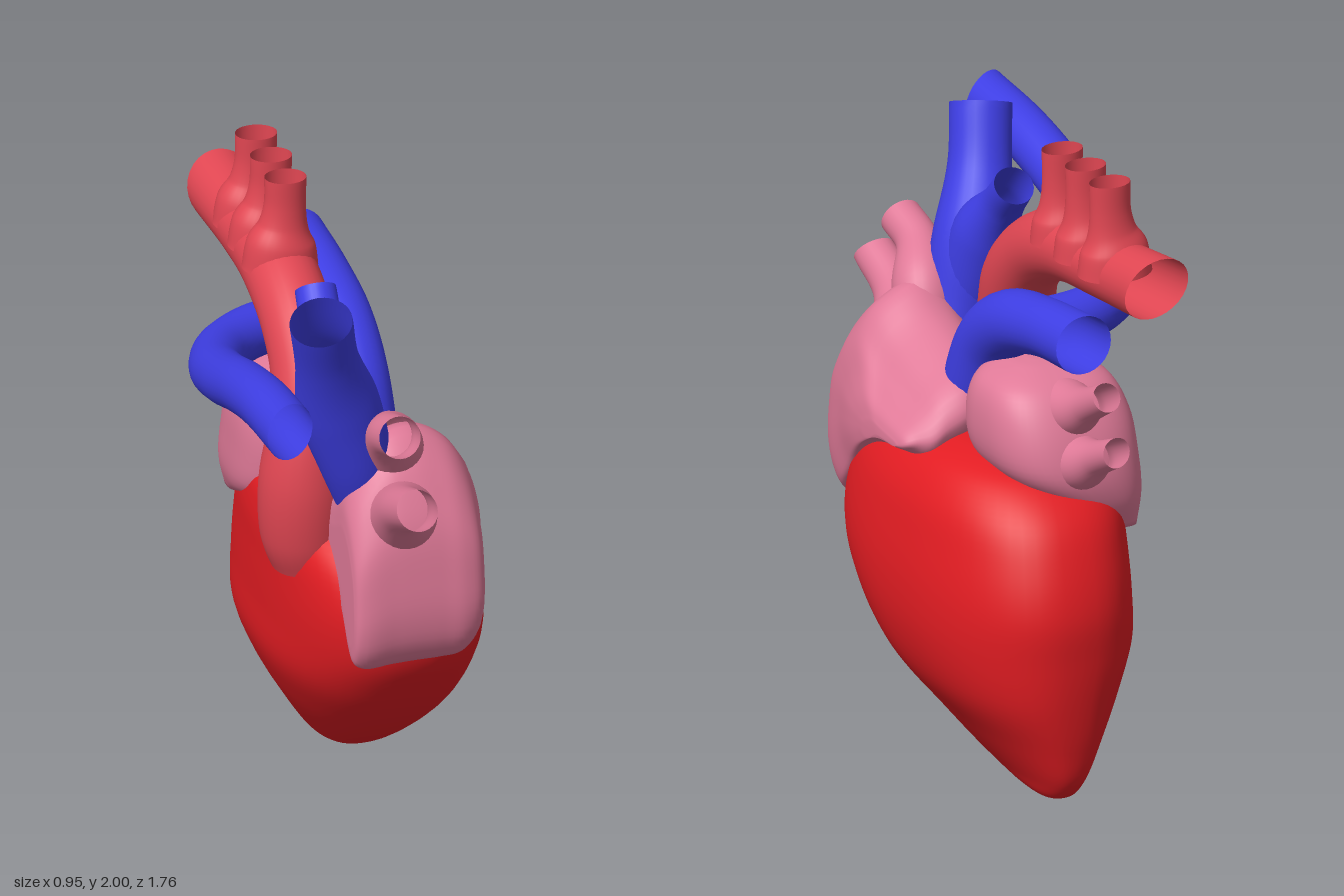
import * as THREE from 'three';

const V = (x, y, z) => new THREE.Vector3(x, y, z);
const RED = 0xe21c22, AORTA = 0xe04652, BLUE = 0x3e3ee4, PINK = 0xe07a98;

// Skin through closed rings of equal point count, optionally capped at both ends
function skin(rings, capped) {
  const n = rings[0].length, pos = [], idx = [];
  rings.forEach(r => r.forEach(p => pos.push(p.x, p.y, p.z)));
  for (let i = 0; i < rings.length - 1; i++) {
    for (let j = 0; j < n; j++) {
      const a = i * n + j, b = i * n + (j + 1) % n;
      idx.push(a, a + n, b, b, a + n, b + n);
    }
  }
  if (capped) {
    [0, rings.length - 1].forEach(i => {
      const c = V(0, 0, 0);
      rings[i].forEach(p => c.addScaledVector(p, 1 / n));
      const k = pos.length / 3;
      pos.push(c.x, c.y, c.z);
      for (let j = 0; j < n; j++) {
        const a = i * n + j, b = i * n + (j + 1) % n;
        if (i === 0) idx.push(k, a, b);
        else idx.push(k, b, a);
      }
    });
  }
  const g = new THREE.BufferGeometry();
  g.setAttribute('position', new THREE.Float32BufferAttribute(pos, 3));
  g.setIndex(idx);
  g.computeVertexNormals();
  return g;
}

// Smoothly interpolate extra rings between the given ones
function smoothRings(rings, steps) {
  const columns = rings[0].map((_, j) =>
    new THREE.CatmullRomCurve3(rings.map(r => r[j])).getPoints((rings.length - 1) * steps));
  return columns[0].map((_, i) => columns.map(c => c[i]));
}

// Body from horizontal sections [y, zMin, zMax, xMin, xMax], each a superellipse
function body(sections, power) {
  const n = 56;
  const soft = v => Math.sign(v) * Math.pow(Math.abs(v), 2 / power);
  const rings = sections.map(([y, z0, z1, x0, x1]) => Array.from({ length: n }, (_, j) => {
    const a = (j / n) * Math.PI * 2;
    return V((x0 + x1) / 2 + soft(Math.cos(a)) * (x1 - x0) / 2, y,
      (z0 + z1) / 2 + soft(Math.sin(a)) * (z1 - z0) / 2);
  }));
  return skin(smoothRings(rings, 6), true);
}

// Open vessel along points [x, y, z, radius]; cut is the normal of a slanted far end
function vessel(points, cut) {
  const n = 28, steps = (points.length - 1) * 8;
  const path = new THREE.CatmullRomCurve3(points.map(p => V(p[0], p[1], p[2])));
  const size = new THREE.CatmullRomCurve3(points.map((p, i) => V(i, p[3], 0)), false, 'catmullrom');
  const normal = V(1, 0, 0), rings = [];
  for (let i = 0; i <= steps; i++) {
    const c = path.getPoint(i / steps), t = path.getTangent(i / steps), r = size.getPoint(i / steps).y;
    normal.addScaledVector(t, -normal.dot(t)).normalize();
    const side = t.clone().cross(normal);
    const slant = cut ? Math.max(0, 1 - (steps - i) / 8) / t.dot(cut) : 0;
    rings.push(Array.from({ length: n }, (_, j) => {
      const a = (j / n) * Math.PI * 2;
      const offset = normal.clone().multiplyScalar(r * Math.cos(a)).addScaledVector(side, -r * Math.sin(a));
      if (cut) offset.addScaledVector(t, -offset.dot(cut) * slant);
      return offset.add(c);
    }));
  }
  return skin(rings, false);
}

// Front atrium: one side profile (z, y) lofted across x, with each slice squeezed
function frontAtriumGeometry() {
  const profile = [[0.42, 0.66], [0.48, 0.73], [0.505, 0.84], [0.5, 0.98], [0.48, 1.12], [0.44, 1.22],
    [0.37, 1.33], [0.27, 1.4], [0.13, 1.33], [-0.04, 1.27], [-0.17, 1.225], [-0.22, 1.14], [-0.17, 1.05],
    [0, 1.01], [0.15, 0.95], [0.28, 0.82], [0.36, 0.7]];
  const outline = new THREE.CatmullRomCurve3(profile.map(([z, y]) => V(0, y, z)), true).getPoints(64).slice(0, 64);
  // [x, bottom, top, z scale, z centre]
  const slices = [[-0.075, 0.74, 1.1, 0.55, 0.42], [-0.065, 0.68, 1.19, 0.68, 0.46], [-0.03, 0.66, 1.27, 0.78, 0.5],
    [0.06, 0.66, 1.38, 0.9, 0.5], [0.14, 0.66, 1.4, 0.97, 0.5], [0.21, 0.66, 1.38, 1, 0.1], [0.28, 0.67, 1.33, 1, 0.1],
    [0.335, 0.72, 1.25, 0.96, -0.1], [0.375, 0.85, 1.17, 0.72, -0.1], [0.405, 0.94, 1.11, 0.52, -0.1], [0.418, 1, 1.06, 0.3, -0.08]];
  const rings = slices.map(([x, lo, hi, s, zc]) => outline.map(p =>
    V(x, lo + (p.y - 0.66) / 0.74 * (hi - lo), zc + (p.z - zc) * s)));
  return skin(smoothRings(rings, 5), true);
}

export function createModel() {
  const model = new THREE.Group();
  const add = (name, color, geometry) => {
    const mesh = new THREE.Mesh(geometry,
      new THREE.MeshStandardMaterial({ color, side: THREE.DoubleSide }));
    mesh.name = name;
    model.add(mesh);
  };

  // Muscular lower chambers, tapering to a rounded apex at the back
  add('ventricles', RED, body([
    [0.003, -0.63, -0.55, 0.095, 0.15], [0.02, -0.69, -0.46, 0.065, 0.185], [0.08, -0.745, -0.2, 0.02, 0.23],
    [0.2, -0.78, 0.02, -0.055, 0.315], [0.35, -0.805, 0.2, -0.14, 0.42], [0.5, -0.82, 0.33, -0.2, 0.468],
    [0.65, -0.825, 0.42, -0.205, 0.478], [0.8, -0.785, 0.43, -0.205, 0.46], [0.93, -0.715, 0.36, -0.2, 0.425],
    [1.02, -0.6, 0.22, -0.17, 0.36], [1.065, -0.45, 0.08, -0.08, 0.27], [1.08, -0.33, -0.05, 0.02, 0.18],
  ], 2.35));

  // Upper chambers
  add('frontAtrium', PINK, frontAtriumGeometry());
  add('backAtrium', PINK, body([
    [0.84, -0.61, -0.5, -0.18, -0.08], [0.95, -0.66, -0.23, -0.215, 0.12], [1.06, -0.67, -0.17, -0.215, 0.25],
    [1.2, -0.63, -0.17, -0.2, 0.27], [1.3, -0.56, -0.21, -0.15, 0.24], [1.35, -0.46, -0.26, -0.05, 0.15],
    [1.362, -0.4, -0.32, 0.02, 0.09],
  ], 2.7));

  // Small veins entering the atria
  add('frontUpperVein', PINK, vessel([[0.12, 1.24, 0.25, 0.09], [0.09, 1.36, 0.32, 0.098], [0.05, 1.45, 0.43, 0.07],
    [0.05, 1.495, 0.545, 0.066]]));
  add('frontLowerVein', PINK, vessel([[0.12, 1.06, 0.26, 0.13], [0.1, 1.15, 0.4, 0.115], [0.06, 1.25, 0.55, 0.075],
    [0.055, 1.325, 0.715, 0.065]], V(0, 0.63, 0.78)));
  add('backUpperVein', PINK, vessel([[0.04, 1.22, -0.45, 0.11], [0.04, 1.25, -0.58, 0.085], [0.04, 1.3, -0.68, 0.056],
    [0.04, 1.365, -0.8, 0.046]]));
  add('backLowerVein', PINK, vessel([[0.03, 1.08, -0.5, 0.11], [0.04, 1.095, -0.63, 0.09], [0.04, 1.145, -0.74, 0.056],
    [0.04, 1.205, -0.865, 0.046]], V(0, 0.1, -0.99)));

  // Aorta arching to the back, with three flared branches on top
  add('aorta', AORTA, vessel([[-0.09, 0.88, 0.05, 0.125], [-0.11, 0.98, 0.06, 0.14], [-0.115, 1.15, 0.07, 0.142],
    [-0.1, 1.32, 0.06, 0.125], [-0.08, 1.47, 0, 0.118], [-0.078, 1.6, -0.13, 0.115], [-0.08, 1.68, -0.32, 0.114],
    [-0.09, 1.695, -0.58, 0.104], [-0.107, 1.715, -0.85, 0.108]], V(0, -0.3, -0.95)));
  [-0.31, -0.465, -0.625].forEach((z, i) => add('aortaBranch' + (i + 1), AORTA, vessel([
    [-0.08, 1.7, 0, 0.12], [-0.078, 1.78, 0, 0.108], [-0.07, 1.84, 0, 0.078], [-0.064, 1.91, 0, 0.066],
    [-0.062, 2, 0, 0.066]]).scale(1, 1, 0.82).translate(0, 0, z)));

  // Large forked vein at the front
  add('upperVein', BLUE, vessel([[0.04, 1.12, 0.24, 0.09], [-0.01, 1.3, 0.265, 0.115], [-0.07, 1.5, 0.285, 0.13],
    [-0.13, 1.7, 0.365, 0.1], [-0.17, 1.87, 0.435, 0.098]]));
  add('upperVeinFork', BLUE, vessel([[-0.04, 1.36, 0.25, 0.105], [-0.06, 1.55, 0.19, 0.105], [-0.065, 1.67, 0.095, 0.07],
    [-0.06, 1.765, 0.005, 0.064]]));

  // Pulmonary artery: trunk to the back and a long branch passing under the arch to the front
  add('pulmonaryTrunk', BLUE, vessel([[0.13, 1.02, -0.05, 0.1], [0.12, 1.2, -0.11, 0.112], [0.115, 1.36, -0.19, 0.112],
    [0.12, 1.465, -0.33, 0.104], [0.12, 1.525, -0.55, 0.093], [0.11, 1.545, -0.78, 0.095]], V(0, 0, -1)));
  add('pulmonaryBranch', BLUE, vessel([[0.1, 1.465, -0.4, 0.084], [-0.13, 1.465, -0.36, 0.084], [-0.28, 1.475, -0.24, 0.084],
    [-0.36, 1.51, -0.06, 0.084], [-0.385, 1.565, 0.13, 0.084], [-0.39, 1.64, 0.36, 0.084], [-0.39, 1.69, 0.58, 0.084],
    [-0.388, 1.715, 0.83, 0.085]], V(0.45, 0.2, 0.87)));

  return model;
}
